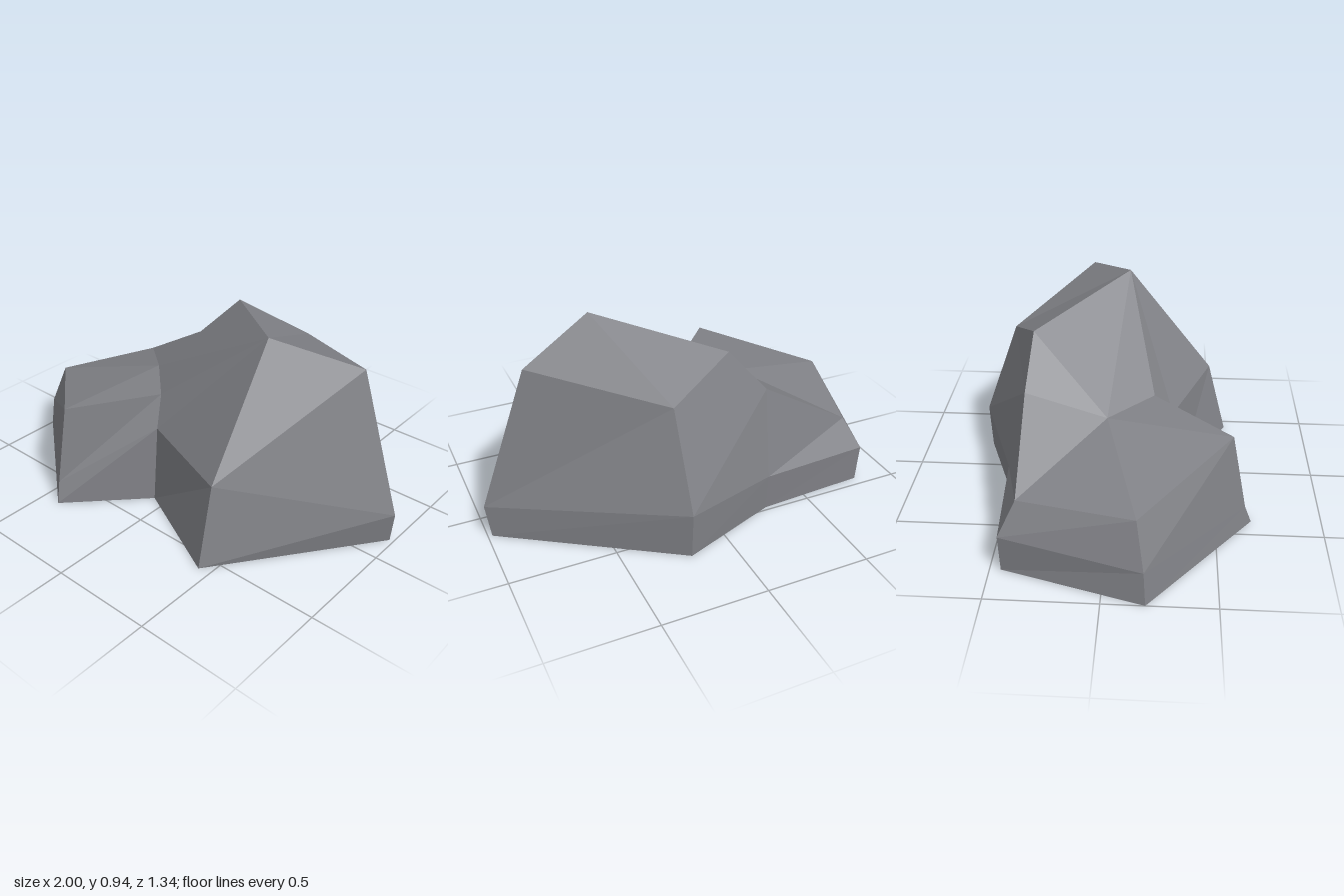
import * as THREE from 'three';

// Outline corners, counter-clockwise from above, at three levels: ground, bevel, crown
const ground = [
  [-0.4, 0, 0.67], [-0.07, 0, 0.33], [0.44, 0, 0.58], [0.98, 0, -0.15],
  [0.2, 0, -0.66], [-0.28, 0, -0.48], [-0.81, 0, -0.45], [-1, 0, 0.19],
];
const bevel = [
  [-0.42, 0.1, 0.635], [-0.075, 0.385, 0.29], [0.43, 0.385, 0.48], [1, 0.16, -0.135],
  [0.2, 0.225, -0.67], [-0.28, 0.185, -0.49], [-0.82, 0.185, -0.455], [-0.98, 0.155, 0.18],
];
const crown = [
  [-0.42, 0.48, 0.56], [-0.13, 0.515, 0.2], [0.395, 0.935, 0.06], [0.77, 0.825, -0.15],
  [0.22, 0.69, -0.505], [-0.3, 0.605, -0.39], [-0.75, 0.333, -0.38], [-0.9, 0.365, 0.145],
];
const hollow = [-0.345, 0.512, -0.01]; // where the low shelf meets the peak
const shoulder = [-0.11, 0.825, -0.365]; // high back corner beside the peak

export function createModel() {
  const stone = new THREE.MeshStandardMaterial({ color: 0x808186, flatShading: true });
  stone.name = 'grey stone';
  const group = new THREE.Group();
  group.name = 'boulder';

  const addFaces = (name, triangles) => {
    const geometry = new THREE.BufferGeometry();
    geometry.setAttribute('position', new THREE.Float32BufferAttribute(triangles.flat(2), 3));
    geometry.computeVertexNormals();
    const mesh = new THREE.Mesh(geometry, stone);
    mesh.name = name;
    group.add(mesh);
  };

  // Wall of facets between two levels
  const wall = (low, high) => low.flatMap((p, i) => {
    const j = (i + 1) % low.length;
    return [[p, low[j], high[j]], [p, high[j], high[i]]];
  });
  addFaces('footing', wall(ground, bevel));
  addFaces('sides', wall(bevel, crown));

  const [frontLeft, notch, peak, right, back, saddle, backLeft, left] = crown;

  // Low shelf fanned around the hollow
  addFaces('shelf', [
    [left, frontLeft, hollow], [frontLeft, notch, hollow],
    [backLeft, left, hollow], [saddle, backLeft, hollow],
  ]);

  // Slope from shelf to peak, and the sloping top behind it
  addFaces('slope', [
    [saddle, hollow, shoulder], [hollow, peak, shoulder], [hollow, notch, peak],
  ]);
  addFaces('top', [
    [shoulder, peak, back], [peak, right, back], [back, saddle, shoulder],
  ]);

  // Underside fanned from the notch corner
  const underside = [];
  for (let i = 2; i < 8; i++) underside.push([ground[1], ground[(i + 1) % 8], ground[i]]);
  addFaces('underside', underside);

  return group;
}
